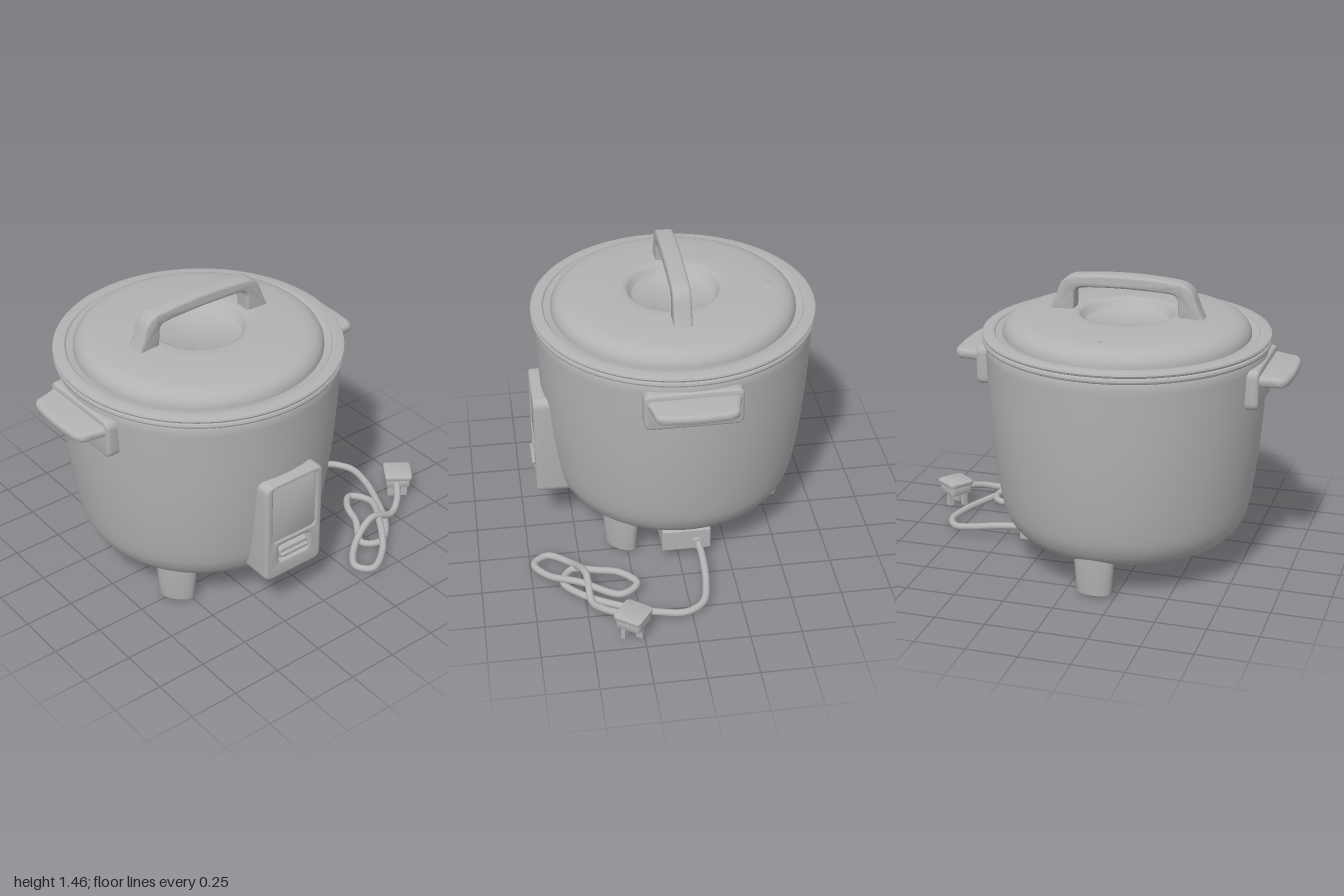
import * as THREE from 'three';
import { toCreasedNormals } from 'three/addons/utils/BufferGeometryUtils.js';
import { RoundedBoxGeometry } from 'three/addons/geometries/RoundedBoxGeometry.js';

const CX = -0.16, CZ = -0.045; // axis of the pot

export function createModel() {
  const root = new THREE.Group();
  root.name = 'riceCooker';
  const grey = new THREE.MeshStandardMaterial({ color: 0xb2b2b2 });
  grey.name = 'grey';

  const add = (name, geo, parent = root, x = 0, y = 0, z = 0) => {
    const mesh = new THREE.Mesh(geo, grey);
    mesh.name = name;
    mesh.position.set(x, y, z);
    parent.add(mesh);
    return mesh;
  };
  const lathe = (pts, seg = 96) =>
    toCreasedNormals(new THREE.LatheGeometry(pts.map(p => new THREE.Vector2(...p)), seg), 0.6);
  // Bevelled extrusion whose outline and depth include the bevel
  const extrude = (shape, depth, bevel) => toCreasedNormals(new THREE.ExtrudeGeometry(shape, {
    depth: depth - 2 * bevel, bevelEnabled: true, bevelSize: bevel, bevelThickness: bevel,
    bevelOffset: -bevel, bevelSegments: 4, curveSegments: 10,
  }).translate(0, 0, bevel), 0.6);
  const roundRect = (cx, cy, w, h, r, C = THREE.Shape) => {
    const s = new C(), x = cx - w / 2, y = cy - h / 2;
    s.moveTo(x + r, y);
    s.lineTo(x + w - r, y).quadraticCurveTo(x + w, y, x + w, y + r);
    s.lineTo(x + w, y + h - r).quadraticCurveTo(x + w, y + h, x + w - r, y + h);
    s.lineTo(x + r, y + h).quadraticCurveTo(x, y + h, x, y + h - r);
    s.lineTo(x, y + r).quadraticCurveTo(x, y, x + r, y);
    return s;
  };

  // Pot: everything turned about its own axis
  const pot = new THREE.Group();
  pot.name = 'pot';
  pot.position.set(CX, 0, CZ);
  root.add(pot);
  const wall = new THREE.SplineCurve([[0.3, 0.132], [0.44, 0.148], [0.54, 0.185], [0.595, 0.255], [0.625, 0.36],
    [0.655, 0.58], [0.675, 0.82], [0.688, 1.125]].map(p => new THREE.Vector2(...p)));
  add('body', lathe([[0, 0.12], ...wall.getPoints(40).map(p => [p.x, p.y]), [0.682, 1.14], [0.62, 1.145]]), pot);
  add('panFlange', lathe([[0.6, 1.14], [0.69, 1.14], [0.7, 1.146], [0.703, 1.155], [0.7, 1.165], [0.69, 1.169], [0.6, 1.169]]), pot);
  add('rim', lathe([[0.6, 1.169], [0.69, 1.169], [0.7, 1.174], [0.704, 1.183], [0.7, 1.192], [0.688, 1.197],
    [0.645, 1.196], [0.638, 1.188], [0.6, 1.18]]), pot);
  add('lid', lathe([[0.59, 1.165], [0.605, 1.175], [0.603, 1.2], [0.592, 1.222], [0.573, 1.242], [0.545, 1.256],
    [0.5, 1.265], [0.42, 1.272], [0.32, 1.279], [0.255, 1.281], [0.235, 1.278], [0.222, 1.268], [0.208, 1.238],
    [0.2, 1.233], [0, 1.233]]), pot);
  const vent = add('steamVent', new THREE.TorusGeometry(0.009, 0.004, 8, 20), pot, 0, 1.268, -0.47);
  vent.rotation.x = -Math.PI / 2;

  // Lid handle: an arch with flared feet
  const arch = new THREE.Shape();
  arch.moveTo(-0.395, 1.255);
  arch.quadraticCurveTo(-0.36, 1.32, -0.34, 1.38);
  arch.quadraticCurveTo(-0.32, 1.437, -0.26, 1.447);
  arch.quadraticCurveTo(0, 1.477, 0.26, 1.447);
  arch.quadraticCurveTo(0.32, 1.437, 0.34, 1.38);
  arch.quadraticCurveTo(0.36, 1.32, 0.395, 1.255);
  arch.lineTo(0.262, 1.255);
  arch.lineTo(0.258, 1.355);
  arch.quadraticCurveTo(0.256, 1.385, 0.22, 1.39);
  arch.quadraticCurveTo(0, 1.405, -0.22, 1.39);
  arch.quadraticCurveTo(-0.256, 1.385, -0.258, 1.355);
  arch.lineTo(-0.262, 1.255);
  arch.closePath();
  add('lidHandle', extrude(arch, 0.09, 0.014), pot, 0, 0, -0.04 - CZ - 0.045);

  // Side handles: mounting plate and tapered grip
  const grip = new THREE.Shape();
  grip.moveTo(0.6, -0.225);
  grip.lineTo(0.7, -0.222);
  grip.quadraticCurveTo(0.75, -0.205, 0.79, -0.2);
  grip.quadraticCurveTo(0.825, -0.195, 0.832, -0.14);
  grip.quadraticCurveTo(0.848, 0, 0.832, 0.14);
  grip.quadraticCurveTo(0.825, 0.195, 0.79, 0.2);
  grip.quadraticCurveTo(0.75, 0.205, 0.7, 0.222);
  grip.lineTo(0.6, 0.225);
  grip.closePath();
  for (const turn of [0, Math.PI]) {
    const handle = new THREE.Group();
    handle.name = turn ? 'rightHandle' : 'leftHandle';
    handle.rotation.y = turn;
    pot.add(handle);
    const plate = extrude(roundRect(0, 1.012, 0.475, 0.195, 0.04), 0.115, 0.018);
    add('handlePlate', plate.rotateY(Math.PI / 2), handle, 0.585);
    const g = extrude(grip, 0.05, 0.02).rotateX(-Math.PI / 2);
    add('handleGrip', g, handle, 0.045, 1.062).rotation.z = -0.06;
    handle.children[1].position.set(0, 1.072, 0);
  }

  // Feet: flattened tapered pegs set along the circle
  for (const [x, z] of [[0.012, -0.515], [0.393, 0.325], [-0.393, 0.325]]) {
    const foot = add('foot', lathe([[0, 0.012], [0.078, 0.012], [0.084, 0.015], [0.087, 0.022], [0.102, 0.21], [0, 0.21]], 40), pot, x, 0, z);
    foot.rotation.y = Math.atan2(x, z);
    foot.scale.z = 0.47;
  }

  // Control panel with window and recessed switch
  const panel = new THREE.Group();
  panel.name = 'controlPanel';
  panel.position.x = -0.144;
  root.add(panel);
  const face = roundRect(0, 0.502, 0.344, 0.556, 0.045);
  face.holes.push(roundRect(0, 0.6, 0.256, 0.308, 0.02, THREE.Path), roundRect(0, 0.363, 0.18, 0.096, 0.018, THREE.Path));
  add('panelCase', extrude(face, 0.2, 0.016), panel, 0, 0, 0.48);
  add('panelWindow', extrude(roundRect(0, 0.6, 0.276, 0.328, 0.025), 0.1, 0.002), panel, 0, 0, 0.573);
  add('switchRecess', new THREE.BoxGeometry(0.2, 0.12, 0.1), panel, 0, 0.363, 0.605);
  add('switchLever', new RoundedBoxGeometry(0.17, 0.04, 0.04, 3, 0.01), panel, 0, 0.372, 0.662);
  add('switchTip', new RoundedBoxGeometry(0.165, 0.024, 0.05, 3, 0.01), panel, 0, 0.355, 0.669);

  // Power inlet under the body
  add('powerInlet', new RoundedBoxGeometry(0.25, 0.12, 0.245, 2, 0.008), root, 0.247, 0.112, -0.038);
  add('cordCollar', new THREE.CylinderGeometry(0.03, 0.03, 0.03, 24).rotateZ(Math.PI / 2), root, 0.375, 0.095, -0.095);

  // Cord: loops on the ground between inlet and plug
  const path = new THREE.CatmullRomCurve3([
    [0.36, 0.097, -0.095], [0.5, 0.085, -0.1], [0.66, 0.055, -0.09], [0.76, 0.035, -0.06], [0.815, 0.03, 0.03],
    [0.8, 0.03, 0.15], [0.735, 0.03, 0.32], [0.62, 0.035, 0.52], [0.51, 0.03, 0.6], [0.425, 0.035, 0.55],
    [0.49, 0.07, 0.43], [0.53, 0.075, 0.32], [0.61, 0.065, 0.245], [0.675, 0.06, 0.33], [0.575, 0.075, 0.52],
    [0.46, 0.04, 0.67], [0.34, 0.022, 0.73], [0.285, 0.022, 0.66], [0.38, 0.04, 0.55], [0.54, 0.1, 0.49],
    [0.7, 0.05, 0.475], [0.78, 0.07, 0.43], [0.86, 0.095, 0.34],
  ].map(p => new THREE.Vector3(...p)));
  add('cord', new THREE.TubeGeometry(path, 260, 0.018, 12));

  // Plug: two-layer body with three pins
  const plug = new THREE.Group();
  plug.name = 'plug';
  plug.position.set(0.9, 0, 0.3);
  plug.rotation.y = -0.63;
  root.add(plug);
  const cap = roundRect(0, 0, 0.145, 0.145, 0.025);
  const base = roundRect(0, 0, 0.13, 0.13, 0.022);
  add('plugCap', extrude(cap, 0.026, 0.006).rotateX(-Math.PI / 2), plug, 0, 0.115, 0);
  add('plugBody', extrude(base, 0.05, 0.005).rotateX(-Math.PI / 2), plug, 0, 0.07, 0);
  for (const [x, z, w, d] of [[0, -0.036, 0.022, 0.034], [-0.035, 0.028, 0.034, 0.022], [0.035, 0.028, 0.034, 0.022]])
    add('plugPin', new THREE.BoxGeometry(w, 0.08, d), plug, x, 0.04, z);

  return root;
}
